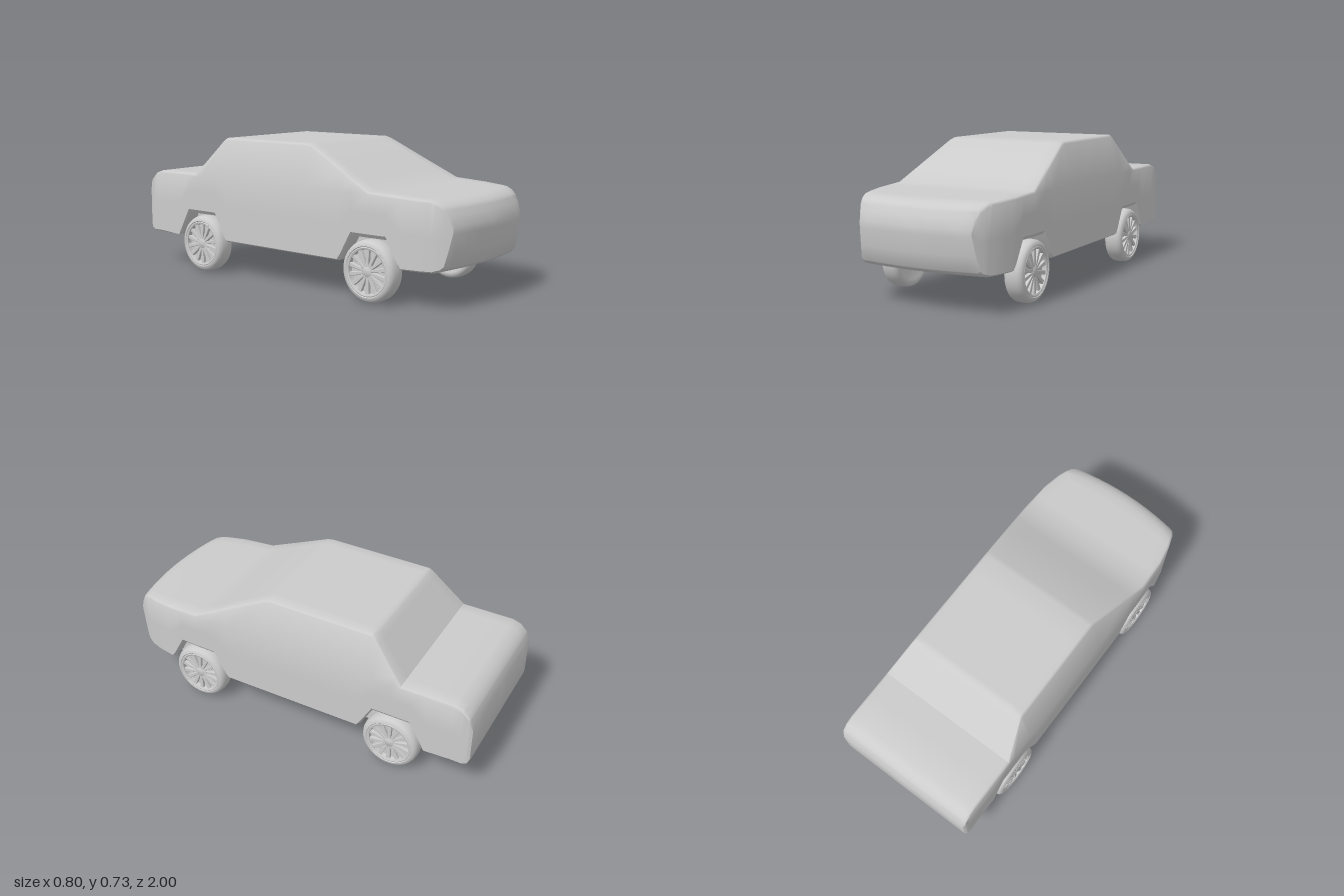
import * as THREE from 'three';
import { toCreasedNormals } from 'three/addons/utils/BufferGeometryUtils.js';

const mat = new THREE.MeshStandardMaterial({ color: 0xcccccc, side: THREE.DoubleSide });

const WHEELS = [0.55, -0.58];   // axle z positions
const WHEEL_Y = 0.155;
const NICHE_X = 0.31;           // inner wall of the wheel arches

// Piecewise linear lookup in [z, value] pairs with falling z
function lookup(table, z) {
  if (z >= table[0][0]) return table[0][1];
  for (let i = 1; i < table.length; i++) {
    const [z0, v0] = table[i - 1], [z1, v1] = table[i];
    if (z >= z1) return v0 + (v1 - v0) * (z0 - z) / (z0 - z1);
  }
  return table[table.length - 1][1];
}

const floorLine = [[1, 0.37], [0.985, 0.285], [0.97, 0.212], [0.955, 0.196], [0.92, 0.185], [-0.965, 0.185], [-0.988, 0.196], [-1, 0.22]];
const beltLine = [[1, 0.405], [0.985, 0.45], [0.965, 0.487], [0.94, 0.506], [0.9, 0.518], [0.55, 0.535], [-0.9, 0.532], [-0.945, 0.517], [-0.98, 0.483], [-1, 0.425]];
const roofLine = [[0.55, 0], [0.16, 0.192], [0.13, 0.2], [-0.44, 0.2], [-0.455, 0.19], [-0.625, 0]];
const halfWidth = [[1, 0.305], [0.97, 0.325], [0.94, 0.342], [0.85, 0.366], [0.72, 0.384], [0.55, 0.391], [-0.985, 0.391], [-1, 0.383]];

// Height of the wheel arch above the floor
function archRise(z) {
  for (const c of WHEELS) {
    const d = Math.abs(z - c);
    if (d < 0.185) return 0.15 * Math.min(1, (0.185 - d) / 0.083);
  }
  return 0;
}

// Right half of one cross-section, from the bottom centre round to the top centre
function halfSection(z) {
  const b = lookup(floorLine, z), t = lookup(beltLine, z), w = lookup(halfWidth, z);
  const rise = archRise(z), a = b + rise, h = z > 0.55 || z < -0.625 ? 0 : lookup(roofLine, z);
  const r = t + h, rw = w - 0.29 * h, n = Math.min(NICHE_X, w - 0.04);
  const e = Math.min(0.012, (t - b) / 4);
  const lip = rise > 0 ? 0.018 * Math.min(1, rise / 0.03) : 0;
  const pts = [
    [0, b], [0.1, b], [0.2, b], [n, b], [n, a - lip], [w - 0.014, a - lip], [w, a + (rise ? 0 : e * 0.7)],
    [w, (a + t) / 2], [w, t - e],
    [rw, r - e], [rw - 0.005, r - e * 0.35], [rw - 0.014, r],
    [rw * 0.8, r], [rw * 0.6, r], [rw * 0.4, r], [rw * 0.2, r], [0, r],
  ];
  // The nose is bowed when seen from above
  const bow = 0.03 * THREE.MathUtils.clamp((z - 0.74) / 0.2, 0, 1);
  return pts.map(([x, y]) => new THREE.Vector3(x, y, z - bow * (x / 0.3) ** 2));
}

function bodyGeometry() {
  const zs = [1, 0.985, 0.97, 0.965, 0.955, 0.94, 0.92, 0.9, 0.85, 0.8, 0.76, 0.16, 0.13, 0, -0.2, -0.44, -0.455, -0.625, -0.9, -0.945, -0.965, -0.98, -0.985, -0.988, -1];
  for (const c of WHEELS) for (const d of [0.185, 0.165, 0.102, 0]) zs.push(c + d, c - d);
  const stations = [...new Set(zs)].sort((p, q) => q - p);
  const pos = [], index = [];
  let N = 0, H = 0;
  for (const z of stations) {
    const half = halfSection(z);
    const mirror = half.slice(1, -1).reverse().map(p => new THREE.Vector3(-p.x, p.y, p.z));
    const ring = [...half, ...mirror];
    H = half.length;
    N = ring.length;
    ring.forEach(p => pos.push(p.x, p.y, p.z));
  }
  // Skin between neighbouring sections
  for (let s = 0; s < stations.length - 1; s++) for (let i = 0; i < N; i++) {
    const A = s * N + i, B = s * N + (i + 1) % N, C = B + N, D = A + N;
    index.push(A, D, C, A, C, B);
  }
  // Nose and tail caps, joining floor points to the points above them
  const last = (stations.length - 1) * N;
  for (let i = 0; i < (H - 1) / 2; i++) {
    const right = [i, i + 1, H - 2 - i, H - 1 - i];
    const left = right.map(k => (N - k) % N);
    const quad = ([p, q, r, s], off, flip) =>
      index.push(...(flip ? [p, r, q, p, s, r] : [p, q, r, p, r, s]).map(k => k + off));
    quad(right, 0, false); quad(left, 0, true);
    quad(right, last, true); quad(left, last, false);
  }
  const g = new THREE.BufferGeometry();
  g.setAttribute('position', new THREE.Float32BufferAttribute(pos, 3));
  g.setIndex(index);
  return toCreasedNormals(g, 0.6);
}

// Lathe around the axle: points are [radius, outward distance]
function axleLathe(points, segments = 48) {
  const g = new THREE.LatheGeometry(points.map(p => new THREE.Vector2(...p)), segments);
  g.rotateZ(-Math.PI / 2);
  return toCreasedNormals(g, 0.7);
}

const tyreGeo = axleLathe([[0, -0.047], [0.113, -0.047], [0.12, -0.05], [0.134, -0.048], [0.144, -0.04], [0.15, -0.026], [0.152, 0],
  [0.15, 0.026], [0.144, 0.04], [0.134, 0.048], [0.124, 0.05], [0.12, 0.046]]);
const rimGeo = axleLathe([[0.122, 0.046], [0.116, 0.049], [0.108, 0.046], [0.105, 0.024], [0, 0.024]]);
const hubGeo = axleLathe([[0.028, 0.024], [0.028, 0.04], [0.023, 0.044], [0, 0.045]], 24);

// Thin spoke that widens toward the rim
const spokeShape = new THREE.Shape([[-0.005, 0.022], [0.005, 0.022], [0.009, 0.111], [-0.009, 0.111]].map(p => new THREE.Vector2(...p)));
const spokeGeo = new THREE.ExtrudeGeometry(spokeShape, { depth: 0.014, bevelEnabled: true, bevelSize: 0.002, bevelThickness: 0.002, bevelSegments: 1 });
spokeGeo.translate(0, 0, 0.026).rotateY(Math.PI / 2);

function part(geo, name) {
  const m = new THREE.Mesh(geo, mat);
  m.name = name;
  return m;
}

function makeWheel(name) {
  const wheel = new THREE.Group();
  wheel.name = name;
  wheel.add(part(tyreGeo, 'tyre'), part(rimGeo, 'rim'), part(hubGeo, 'hub'));
  const count = 14;
  for (let i = 0; i < count; i++) {
    const spoke = part(spokeGeo, 'spoke');
    spoke.rotation.x = i / count * Math.PI * 2;
    wheel.add(spoke);
  }
  return wheel;
}

export function createModel() {
  const car = new THREE.Group();
  car.name = 'car';
  car.add(part(bodyGeometry(), 'body'));
  // Four wheels, faces turned outward
  WHEELS.forEach((z, i) => {
    for (const side of [1, -1]) {
      const wheel = makeWheel((i ? 'rear' : 'front') + (side > 0 ? 'Left' : 'Right') + 'Wheel');
      wheel.position.set(side * 0.35, WHEEL_Y, z);
      if (side < 0) wheel.rotation.y = Math.PI;
      car.add(wheel);
    }
  });
  return car;
}
